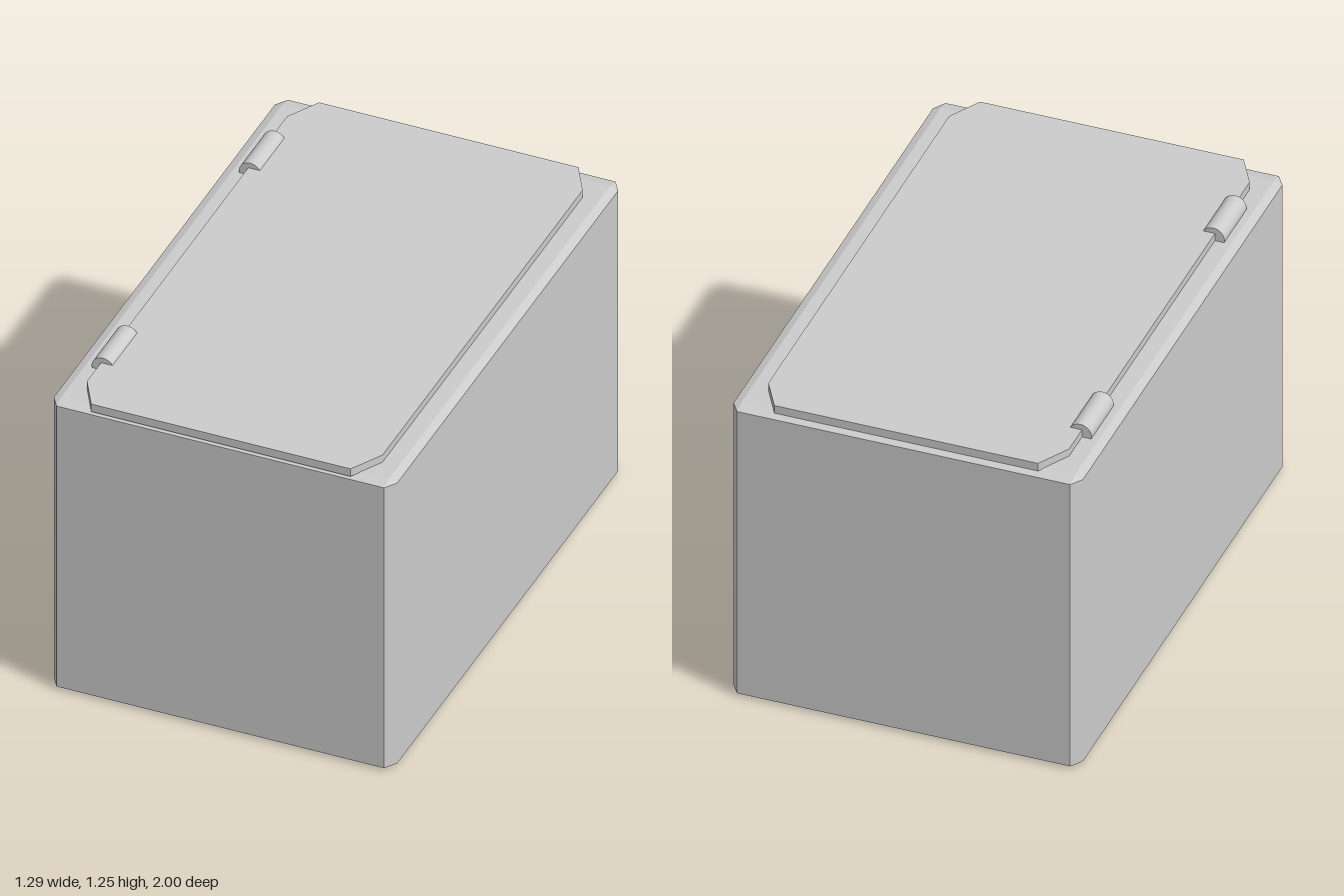
import * as THREE from 'three';
import { ConvexGeometry } from 'three/addons/geometries/ConvexGeometry.js';

const material = new THREE.MeshStandardMaterial({ color: 0xcccccc, flatShading: true });
const smoothMaterial = new THREE.MeshStandardMaterial({ color: 0xcccccc });

function addMesh(parent, name, geometry, mat = material) {
  const mesh = new THREE.Mesh(geometry, mat);
  mesh.name = name;
  parent.add(mesh);
  return mesh;
}

// Box with every edge chamfered; the chamfer differs per axis
function chamferedBox(half, chamfer) {
  const points = [];
  for (const sx of [-1, 1]) for (const sy of [-1, 1]) for (const sz of [-1, 1]) {
    const sign = [sx, sy, sz];
    for (let face = 0; face < 3; face++) {
      const c = sign.map((s, i) => s * (half[i] - (i === face ? 0 : chamfer[i])));
      points.push(new THREE.Vector3(...c));
    }
  }
  return new ConvexGeometry(points);
}

// Flat plate with cut corners, its underside at y = 0
function cutCornerPlate(hx, hz, cx, cz, height) {
  const outline = [
    [hx - cx, hz], [-hx + cx, hz], [-hx, hz - cz], [-hx, -hz + cz],
    [-hx + cx, -hz], [hx - cx, -hz], [hx, -hz + cz], [hx, hz - cz],
  ].map(([x, z]) => new THREE.Vector2(x, z));
  const geometry = new THREE.ExtrudeGeometry(new THREE.Shape(outline), { depth: height, bevelEnabled: false });
  return geometry.rotateX(-Math.PI / 2);
}

export function createModel() {
  const model = new THREE.Group();
  model.name = 'hingedBox';

  // Body
  const body = addMesh(model, 'body', chamferedBox([0.645, 0.601, 1], [0.03, 0.011, 0.045]));
  body.position.y = 0.601;

  // Lid, set slightly towards the front
  const lid = addMesh(model, 'lid', cutCornerPlate(0.555, 0.985, 0.068, 0.12, 0.032));
  lid.position.set(0, 1.2, 0.01);

  // Hinge barrels along the right edge of the lid
  for (const [name, z] of [['frontHinge', 0.648], ['backHinge', -0.625]]) {
    const barrel = new THREE.CylinderGeometry(0.042, 0.042, 0.212, 32).rotateX(Math.PI / 2);
    addMesh(model, name, barrel, smoothMaterial).position.set(-0.548, 1.211, z);
  }

  return model;
}
